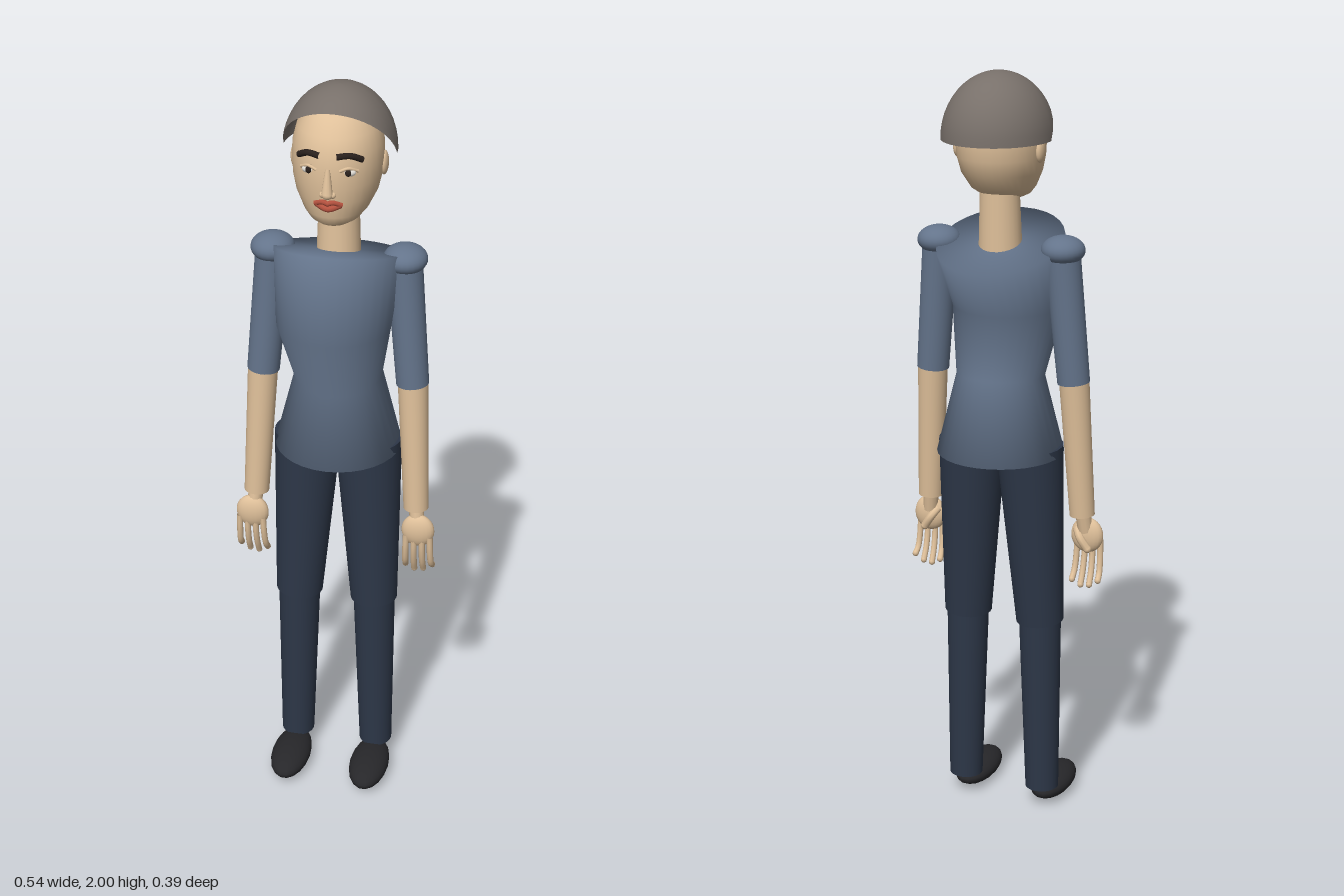
import * as THREE from 'three';

const mat = (color) => new THREE.MeshStandardMaterial({ color, side: THREE.DoubleSide });
const V = (x, y, z) => new THREE.Vector3(x, y, z);

// Closed body through elliptical rings [halfWidth, frontZ, frontY, backZ, backY], bottom to top
function loft(rings, seg = 32) {
  const pos = [], idx = [], n = rings.length;
  for (const [w, zf, yf, zb, yb] of rings) {
    for (let j = 0; j < seg; j++) {
      const a = (j / seg) * Math.PI * 2, t = (1 + Math.cos(a)) / 2;
      pos.push(w * Math.sin(a), yb + (yf - yb) * t, zb + (zf - zb) * t);
    }
  }
  for (const r of [rings[0], rings[n - 1]]) pos.push(0, (r[2] + r[4]) / 2, (r[1] + r[3]) / 2);
  const top = (n - 1) * seg;
  for (let j = 0; j < seg; j++) {
    const k = (j + 1) % seg;
    for (let i = 0; i < n - 1; i++) {
      const a = i * seg + j, b = i * seg + k;
      idx.push(a, b, a + seg, b, b + seg, a + seg);
    }
    idx.push(n * seg, k, j, n * seg + 1, top + j, top + k);
  }
  return build(pos, idx);
}

function build(pos, idx) {
  const g = new THREE.BufferGeometry();
  g.setAttribute('position', new THREE.Float32BufferAttribute(pos, 3));
  g.setIndex(idx);
  g.computeVertexNormals();
  return g;
}

// Half-ellipsoid hair whose rim rises diagonally over the forehead
function hairCap(seg = 48, rows = 12) {
  const pos = [], idx = [];
  for (let i = 0; i <= rows; i++) {
    for (let j = 0; j < seg; j++) {
      const a = (j / seg) * Math.PI * 2;
      const rim = Math.atan(1.2 * Math.max(0, Math.cos(a)));
      const t = rim + (Math.PI / 2 - rim) * (i / rows);
      pos.push(0.14 * Math.cos(t) * Math.sin(a), 1.835 + 0.165 * Math.sin(t), -0.04 + 0.156 * Math.cos(t) * Math.cos(a));
      if (i < rows) {
        const p = i * seg + j, q = i * seg + ((j + 1) % seg);
        idx.push(p, q, p + seg, q, q + seg, p + seg);
      }
    }
  }
  return build(pos, idx);
}

export function createModel() {
  const model = new THREE.Group();
  model.name = 'standingFigure';
  const skin = mat(0xdfc09a), shirt = mat(0x64748b), trousers = mat(0x2d3748), shoeMat = mat(0x27272a);
  const hairMat = mat(0x78706a), dark = mat(0x2a211d), white = mat(0xe8e4dc), lipMat = mat(0xb5523f);

  const add = (name, geo, material, parent = model) => {
    const m = new THREE.Mesh(geo, material);
    m.name = name;
    parent.add(m);
    return m;
  };
  const ball = (name, c, rx, ry, rz, material, parent, seg = 20) => {
    const m = add(name, new THREE.SphereGeometry(1, seg, Math.ceil(seg * 0.7)), material, parent);
    m.position.copy(c);
    m.scale.set(rx, ry, rz);
    return m;
  };
  // Tapered cylinder from the upper point to the lower point
  const limb = (name, a, b, ra, rb, material, parent, seg = 24) => {
    const m = add(name, new THREE.CylinderGeometry(ra, rb, a.distanceTo(b), seg), material, parent);
    m.position.copy(a).lerp(b, 0.5);
    m.quaternion.setFromUnitVectors(V(0, 1, 0), a.clone().sub(b).normalize());
    return m;
  };
  const tube = (name, pts, r, material, parent) =>
    add(name, new THREE.TubeGeometry(new THREE.CatmullRomCurve3(pts), 10, r, 8), material, parent);

  // Shirt body: flared hem, waist, chest, and a collar plane sloping to the back
  add('torso', loft([
    [0.165, 0.14, 1.02, -0.19, 1.02],
    [0.113, 0.095, 1.215, -0.142, 1.235],
    [0.145, 0.175, 1.4, -0.11, 1.395],
    [0.162, 0.14, 1.625, -0.19, 1.52],
  ]), shirt);

  // Neck, head and hair
  limb('neck', V(0, 1.71, -0.03), V(0, 1.54, -0.025), 0.05, 0.056, skin);
  const head = new THREE.Group();
  head.name = 'head';
  model.add(head);
  const skull = [
    [1.68, 0.042, 0.072, -0.02], [1.69, 0.062, 0.085, -0.06], [1.71, 0.08, 0.094, -0.098],
    [1.75, 0.1, 0.101, -0.13], [1.79, 0.109, 0.105, -0.143], [1.83, 0.112, 0.105, -0.147],
    [1.87, 0.11, 0.1, -0.146], [1.91, 0.1, 0.085, -0.135], [1.95, 0.077, 0.052, -0.11], [1.98, 0.035, 0.005, -0.06],
  ];
  add('skull', loft(skull.map(([y, w, f, b]) => [w, f, y, b, y])), skin, head);
  add('hair', hairCap(), hairMat, head);

  // Face
  limb('noseBridge', V(0, 1.84, 0.102), V(0, 1.78, 0.11), 0.006, 0.014, skin, head, 12);
  ball('noseTip', V(0, 1.777, 0.108), 0.014, 0.012, 0.012, skin, head, 12);
  tube('upperLip', [V(-0.033, 1.747, 0.092), V(-0.01, 1.755, 0.101), V(0, 1.751, 0.102), V(0.01, 1.755, 0.101), V(0.033, 1.747, 0.092)], 0.007, lipMat, head);
  tube('lowerLip', [V(-0.03, 1.746, 0.091), V(0, 1.737, 0.101), V(0.03, 1.746, 0.091)], 0.008, lipMat, head);

  for (const s of [1, -1]) {
    const side = s > 0 ? 'left' : 'right';
    const P = (x, y, z) => V(s * x, y, z);

    ball(side + 'Nostril', P(0.012, 1.775, 0.103), 0.009, 0.008, 0.009, skin, head, 10);
    ball(side + 'Eye', P(0.048, 1.832, 0.088), 0.018, 0.011, 0.01, white, head, 14);
    ball(side + 'Pupil', P(0.048, 1.832, 0.095), 0.008, 0.009, 0.005, dark, head, 12);
    tube(side + 'UpperLid', [P(0.028, 1.836, 0.1), P(0.048, 1.844, 0.096), P(0.069, 1.834, 0.081)], 0.004, skin, head);
    tube(side + 'Brow', [P(0.02, 1.871, 0.098), P(0.05, 1.873, 0.088), P(0.077, 1.858, 0.068)], 0.008, dark, head);
    ball(side + 'Ear', P(0.11, 1.81, -0.035), 0.011, 0.031, 0.021, skin, head, 16);

    // Arm
    const arm = new THREE.Group();
    arm.name = side + 'Arm';
    model.add(arm);
    ball('shoulder', P(0.168, 1.563, -0.025), 0.056, 0.037, 0.057, shirt, arm, 24);
    limb('sleeve', P(0.165, 1.565, -0.024), P(0.195, 1.22, -0.012), 0.046, 0.042, shirt, arm);
    limb('forearm', P(0.196, 1.225, -0.011), P(0.215, 0.858, 0.009), 0.039, 0.033, skin, arm);

    // Hand with four curled fingers and a thumb
    const hand = new THREE.Group();
    hand.name = side + 'Hand';
    arm.add(hand);
    limb('wrist', P(0.215, 0.87, 0.01), P(0.221, 0.81, 0.02), 0.02, 0.02, skin, hand, 12);
    ball('palm', P(0.224, 0.797, 0.025), 0.044, 0.048, 0.022, skin, hand);
    for (let i = 0; i < 4; i++) {
      const x = 0.194 + i * 0.021, fan = (i - 1.5) * 0.001;
      const tip = 0.662 + [0.012, 0, 0.003, 0.018][i];
      tube('finger', [P(x, 0.785, 0.034), P(x + fan, 0.735, 0.031), P(x + 2 * fan, 0.695, 0.021), P(x + 3 * fan, tip, 0.006)], 0.0085, skin, hand);
      ball('fingertip', P(x + 3 * fan, tip, 0.006), 0.0085, 0.009, 0.0085, skin, hand, 10);
    }
    tube('thumb', [P(0.198, 0.815, 0.018), P(0.212, 0.795, 0.002), P(0.232, 0.765, 0.004)], 0.011, skin, hand);
    ball('thumbTip', P(0.232, 0.765, 0.004), 0.011, 0.011, 0.011, skin, hand, 10);

    // Leg
    const leg = new THREE.Group();
    leg.name = side + 'Leg';
    model.add(leg);
    limb('thigh', P(0.08, 1.04, -0.022), P(0.103, 0.55, -0.002), 0.088, 0.063, trousers, leg);
    limb('shin', P(0.103, 0.59, -0.003), P(0.112, 0.06, -0.003), 0.057, 0.045, trousers, leg);
    ball('shoe', P(0.112, 0.034, 0.088), 0.054, 0.034, 0.108, shoeMat, leg, 18);
  }
  return model;
}
